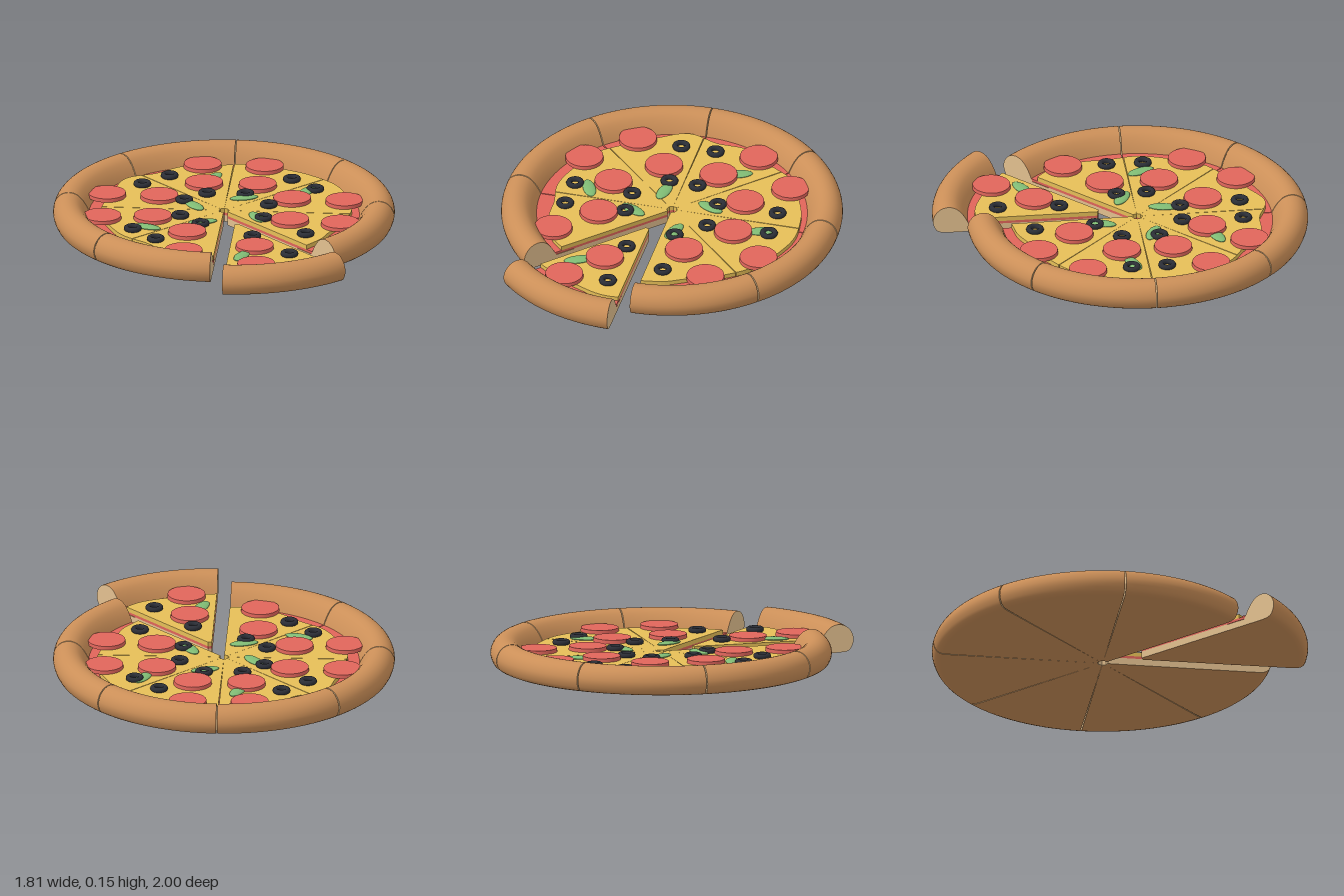
import * as THREE from 'three';

const mat = (name, color, side = THREE.FrontSide) => {
  const m = new THREE.MeshStandardMaterial({ color, side });
  m.name = name;
  return m;
};

export function createModel() {
  const crustMat = mat('baked crust', 0xcb8f58);
  const doughMat = mat('cut dough', 0xe4c190, THREE.DoubleSide);
  const sauceMat = mat('tomato sauce', 0xe0645a);
  const cheeseMat = mat('cheese', 0xe6bf58);
  const pepperoniMat = mat('pepperoni', 0xe0655b);
  const oliveMat = mat('olive', 0x2b2e36);
  const basilMat = mat('basil', 0x80bc75);

  const CENTER_Z = -0.095, PULL = 0.19, TIP = 0.028;
  const HALF = Math.PI / 8 - 0.0035; // half slice angle, less the knife cut
  const pizza = new THREE.Group();
  pizza.name = 'pizza';

  const add = (parent, name, geometry, material) => {
    const mesh = new THREE.Mesh(geometry, material);
    mesh.name = name;
    parent.add(mesh);
    return mesh;
  };

  // Crust cross-section: flat base, rounded rim sloping in to level dough
  const rim = new THREE.SplineCurve([
    [0.86, 0.002], [0.89, 0.018], [0.907, 0.065], [0.895, 0.11], [0.865, 0.141],
    [0.825, 0.152], [0.785, 0.141], [0.754, 0.112], [0.73, 0.075], [0.712, 0.036],
  ].map(([x, y]) => new THREE.Vector2(x, y))).getPoints(27);
  const profile = [
    new THREE.Vector2(TIP, 0), new THREE.Vector2(0.81, 0),
    ...rim, new THREE.Vector2(TIP, 0.036),
  ];

  // Flat wedge-shaped layer whose outer radius follows a rule
  const layer = (phi, radius, y, height) => {
    const pts = [];
    const put = (r, a) => pts.push(new THREE.Vector2(r * Math.sin(a), -r * Math.cos(a)));
    put(TIP, phi + HALF);
    put(TIP, phi - HALF);
    for (let i = 0; i <= 24; i++) {
      const a = phi + HALF * (i / 12 - 1);
      put(radius(a), a);
    }
    const g = new THREE.ExtrudeGeometry(new THREE.Shape(pts), { depth: height, bevelEnabled: false });
    return g.rotateX(-Math.PI / 2).translate(0, y, 0);
  };

  // Uneven melted edge: radii every 15 degrees from the front round to the left
  const melt = [
    0.665, 0.68, 0.665, 0.64, 0.66, 0.68, 0.69, 0.7, 0.69, 0.68, 0.69, 0.66,
    0.68, 0.65, 0.7, 0.66, 0.645, 0.66, 0.645, 0.65, 0.63, 0.66, 0.685, 0.67,
  ];
  const cheeseEdge = (a) => {
    const t = a * 12 / Math.PI + 24, i = Math.floor(t), f = t - i;
    return THREE.MathUtils.lerp(melt[i % 24], melt[(i + 1) % 24], f * f * (3 - 2 * f));
  };

  // Eight slices, the front one pulled out
  for (let k = 0; k < 8; k++) {
    const phi = k * Math.PI / 4;
    const slice = new THREE.Group();
    slice.name = k === 0 ? 'pulledSlice' : 'slice' + k;
    slice.position.z = CENTER_Z + (k === 0 ? PULL : 0);
    add(slice, 'crust', new THREE.LatheGeometry(profile, 14, phi - HALF, 2 * HALF), crustMat);
    for (const s of [-1, 1]) {
      const face = add(slice, 'cutFace', new THREE.ShapeGeometry(new THREE.Shape(profile)), doughMat);
      face.rotation.y = phi + s * HALF - Math.PI / 2;
    }
    add(slice, 'dough', layer(phi, () => 0.6, 0.002, 0.036), doughMat);
    add(slice, 'sauce', layer(phi, () => 0.719, 0.038, 0.014), sauceMat);
    add(slice, 'cheese', layer(phi, cheeseEdge, 0.052, 0.024), cheeseMat);
    pizza.add(slice);
  }

  const toppings = new THREE.Group();
  toppings.name = 'toppings';
  pizza.add(toppings);

  // Pepperoni discs, two on each slice
  const disc = new THREE.CylinderGeometry(0.1, 0.102, 0.02, 32);
  for (const [x, z] of [
    [0.09, -0.74], [0.015, -0.485], [0.395, -0.615], [0.278, -0.372],
    [0.388, -0.12], [0.643, -0.005], [0.282, 0.172], [0.52, 0.3],
    [-0.015, 0.478], [-0.09, 0.735], [-0.29, 0.167], [-0.395, 0.427],
    [-0.395, -0.103], [-0.65, -0.185], [-0.268, -0.38], [-0.525, -0.49],
  ]) add(toppings, 'pepperoni', disc, pepperoniMat).position.set(x, 0.086, z);

  // Olive rings, two on each slice
  const ring = new THREE.TorusGeometry(0.033, 0.0145, 10, 24).rotateX(Math.PI / 2);
  for (const [x, z] of [
    [-0.125, -0.645], [-0.015, -0.34], [-0.3, -0.575], [-0.16, -0.285],
    [0.476, -0.395], [0.175, -0.267], [0.55, -0.22], [0.245, -0.08],
    [0.16, 0.093], [0.3, 0.384], [0.02, 0.33], [0.127, 0.638],
    [-0.185, 0.072], [-0.48, 0.21], [-0.25, -0.075], [-0.55, 0.03],
  ]) add(toppings, 'oliveRing', ring, oliveMat).position.set(x, 0.087, z);

  // Basil leaves: flattened ovals
  const leaf = new THREE.SphereGeometry(1, 20, 12).scale(0.078, 0.011, 0.034);
  for (const [x, z, turn] of [
    [0.09, -0.56, 0.75], [-0.13, -0.2, -1.35], [0.155, -0.228, -0.05], [0.5, -0.215, 0.75],
    [0.132, 0.062, -1.5], [-0.118, 0.575, 0.85], [-0.16, 0.035, -0.1], [-0.465, 0.018, -0.75],
  ]) {
    const m = add(toppings, 'basilLeaf', leaf, basilMat);
    m.position.set(x, 0.08, z);
    m.rotation.y = turn;
  }
  return pizza;
}
